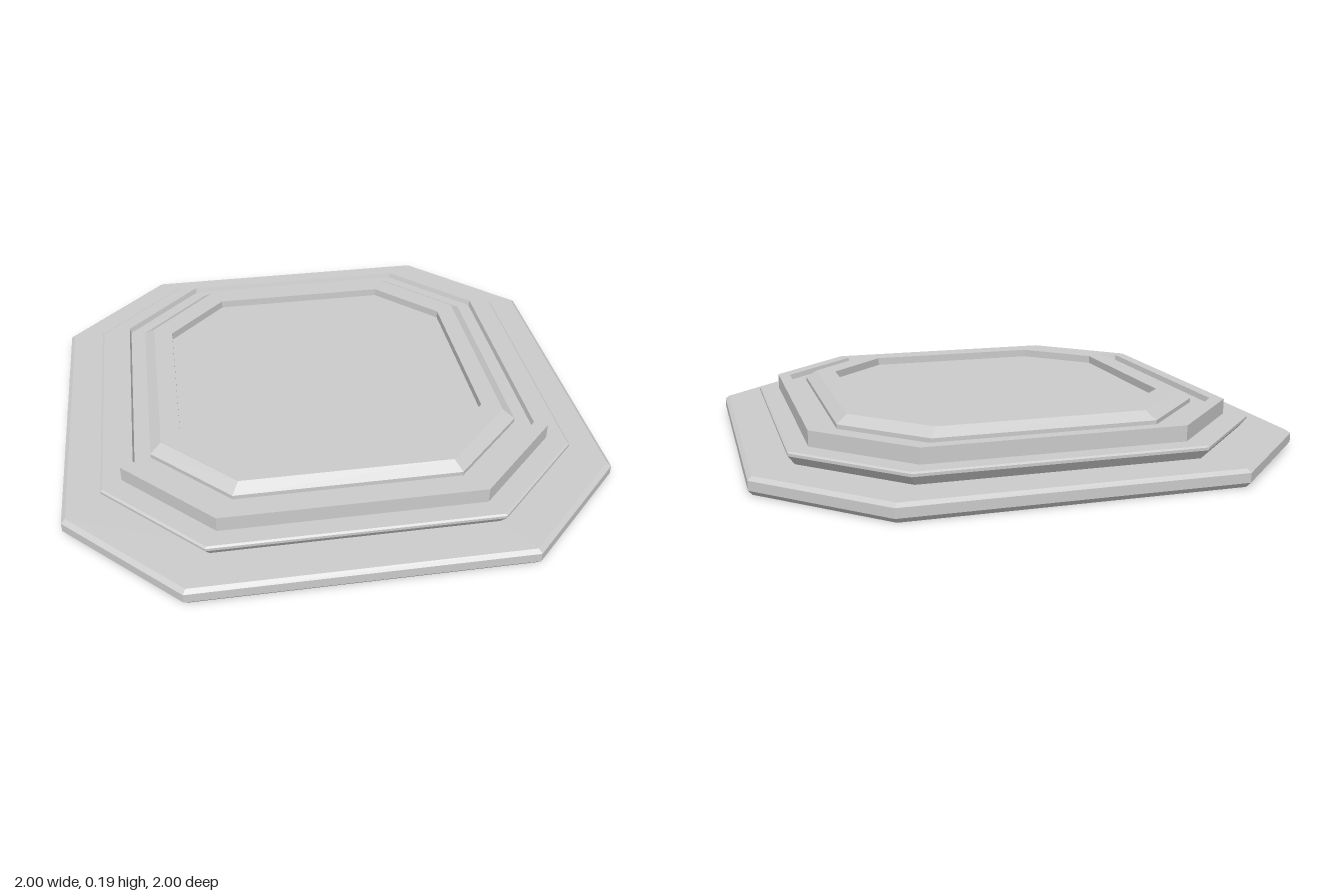
import * as THREE from 'three';

// Octagon of half-width h whose long sides are 0.6 of the full width
const CORNERS = [[0.6, 1], [1, 0.6], [1, -0.6], [0.6, -1], [-0.6, -1], [-1, -0.6], [-1, 0.6], [-0.6, 1]];

// Sweep a [halfWidth, y] profile, given from bottom to top, around the octagon
function tier(name, profile, material) {
  const pos = [];
  const at = ([h, y], k) => {
    const [x, z] = CORNERS[k % 8];
    return [x * h, y, z * h];
  };
  for (let i = 0; i < profile.length - 1; i++) {
    const lo = profile[i], hi = profile[i + 1];
    for (let k = 0; k < 8; k++) {
      const a = at(lo, k), b = at(lo, k + 1), c = at(hi, k + 1), d = at(hi, k);
      if (lo[0] > 0) pos.push(...a, ...b, ...c);
      if (hi[0] > 0) pos.push(...a, ...c, ...d);
    }
  }
  const geometry = new THREE.BufferGeometry();
  geometry.setAttribute('position', new THREE.Float32BufferAttribute(pos, 3));
  geometry.computeVertexNormals();
  const mesh = new THREE.Mesh(geometry, material);
  mesh.name = name;
  return mesh;
}

export function createModel() {
  const group = new THREE.Group();
  group.name = 'steppedPlatform';
  const material = new THREE.MeshStandardMaterial({ color: 0xcccccc, flatShading: true });

  // Wide base slab with bevelled edges
  group.add(tier('baseSlab', [
    [0, 0], [0.985, 0], [1, 0.018], [1, 0.052], [0.985, 0.064], [0.8, 0.064],
  ], material));

  // Middle step, undercut below its lip
  group.add(tier('middleStep', [
    [0.835, 0.064], [0.86, 0.098], [0.86, 0.108], [0.853, 0.113], [0.75, 0.113],
  ], material));

  // Upper step: rim, groove, raised bevelled ring and sunken centre
  group.add(tier('upperStep', [
    [0.785, 0.113], [0.785, 0.17], [0.74, 0.17], [0.735, 0.15], [0.677, 0.15],
    [0.677, 0.166], [0.637, 0.195], [0.565, 0.195], [0.565, 0.165], [0, 0.165],
  ], material));

  return group;
}
